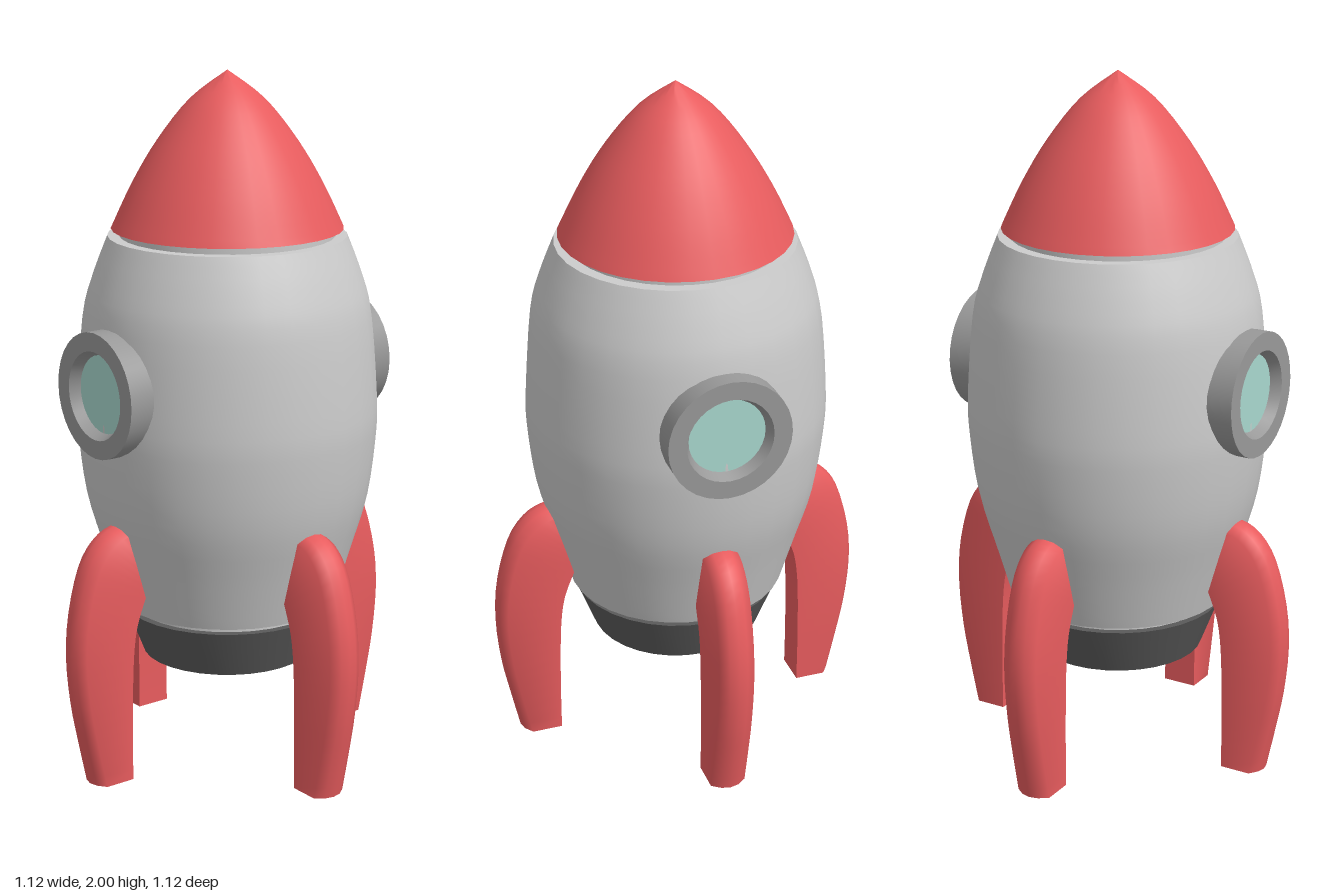
import * as THREE from 'three';
import { toCreasedNormals } from 'three/addons/utils/BufferGeometryUtils.js';

const material = (color) => new THREE.MeshStandardMaterial({ color });
const grey = material(0xcccccc);
const trim = material(0x999999);
const dark = material(0x5a5a5a);
const red = material(0xe85c5e);
const glass = material(0xa8d8ce);

const v2 = (list) => list.map(([x, y]) => new THREE.Vector2(x, y));
const smooth = (list, n) => new THREE.SplineCurve(v2(list)).getPoints(n);

function mesh(name, geometry, mat) {
  const m = new THREE.Mesh(geometry, mat);
  m.name = name;
  return m;
}

// Turned part; the profile runs bottom to top
function turned(name, points, mat) {
  const geometry = new THREE.LatheGeometry(points, 32);
  return mesh(name, toCreasedNormals(geometry, 0.6), mat);
}

// Curved leg: sections run from an inner curve to an outer curve, outer edge bevelled
function legGeometry() {
  const steps = 24, w = 0.052;
  const inner = smooth([[0.38, 0], [0.38, 0.12], [0.378, 0.25], [0.373, 0.37], [0.36, 0.46],
    [0.33, 0.54], [0.31, 0.58], [0.3, 0.62], [0.29, 0.65]], steps);
  const outer = smooth([[0.495, 0], [0.523, 0.13], [0.546, 0.25], [0.558, 0.39], [0.547, 0.52],
    [0.51, 0.65], [0.46, 0.722], [0.4, 0.753], [0.32, 0.757]], steps);
  const section = [[0, -w], [-0.025, -w], [-0.006, -0.026], [0, 0], [-0.006, 0.026], [-0.025, w], [0, w]];
  const n = section.length;
  const position = [], index = [];
  for (let s = 0; s <= steps; s++) {
    const dir = outer[s].clone().sub(inner[s]).normalize();
    section.forEach(([d, z], k) => {
      const base = k === 0 || k === n - 1 ? inner[s] : outer[s];
      const p = base.clone().addScaledVector(dir, d);
      position.push(p.x, p.y, z);
    });
  }
  for (let s = 0; s < steps; s++) {
    for (let k = 0; k < n; k++) {
      const a = s * n + k, b = s * n + (k + 1) % n;
      index.push(b, a, a + n, b, a + n, b + n);
    }
  }
  const top = steps * n;
  for (let k = 1; k < n - 1; k++) {
    index.push(0, k, k + 1, top, top + k + 1, top + k);
  }
  const geometry = new THREE.BufferGeometry();
  geometry.setAttribute('position', new THREE.Float32BufferAttribute(position, 3));
  geometry.setIndex(index);
  return toCreasedNormals(geometry.toNonIndexed(), 1.0);
}

// Porthole built facing +x
function porthole() {
  const group = new THREE.Group();
  const ring = turned('portholeRing',
    v2([[0.178, 0.3], [0.178, 0.46], [0.125, 0.46], [0.108, 0.425]]), trim);
  ring.geometry.rotateZ(-Math.PI / 2);
  const pane = mesh('portholeGlass', new THREE.CircleGeometry(0.112, 32), glass);
  pane.geometry.rotateY(Math.PI / 2).translate(0.43, 0, 0);
  group.add(ring, pane);
  group.position.y = 1.14;
  return group;
}

export function createModel() {
  const model = new THREE.Group();
  model.name = 'rocket';

  // Barrel-shaped hull with flat ends
  const hull = smooth([[0.315, 0.472], [0.358, 0.62], [0.405, 0.785], [0.427, 0.96],
    [0.429, 1.08], [0.41, 1.315], [0.38, 1.43], [0.338, 1.54]], 24);
  model.add(turned('hull', [...v2([[0, 0.472]]), ...hull, ...v2([[0, 1.54]])], grey));

  // Nose cone and the recessed collars at both ends of the hull
  const nose = smooth([[0.328, 1.56], [0.27, 1.682], [0.198, 1.803], [0.105, 1.92], [0, 2]], 16);
  model.add(turned('noseCone', [...v2([[0, 1.56]]), ...nose], red));
  model.add(turned('upperCollar', v2([[0.305, 1.53], [0.305, 1.565]]), grey));
  model.add(turned('lowerCollar', v2([[0.28, 0.445], [0.28, 0.48]]), grey));

  // Hollow exhaust nozzle
  model.add(turned('nozzle', v2([[0, 0.41], [0.19, 0.41], [0.19, 0.335], [0.197, 0.317],
    [0.213, 0.31], [0.247, 0.31], [0.302, 0.452], [0, 0.452]]), dark));

  // Portholes on both sides
  ['left', 'right'].forEach((side, i) => {
    const p = porthole();
    p.name = side + 'Porthole';
    p.rotation.y = i * Math.PI;
    model.add(p);
  });

  // Four legs around the hull
  const legShape = legGeometry();
  ['leftLeg', 'backLeg', 'rightLeg', 'frontLeg'].forEach((name, i) => {
    const leg = mesh(name, legShape, red);
    leg.rotation.y = i * Math.PI / 2;
    model.add(leg);
  });

  model.children.forEach((part) => { part.position.x = -0.004; });
  return model;
}
